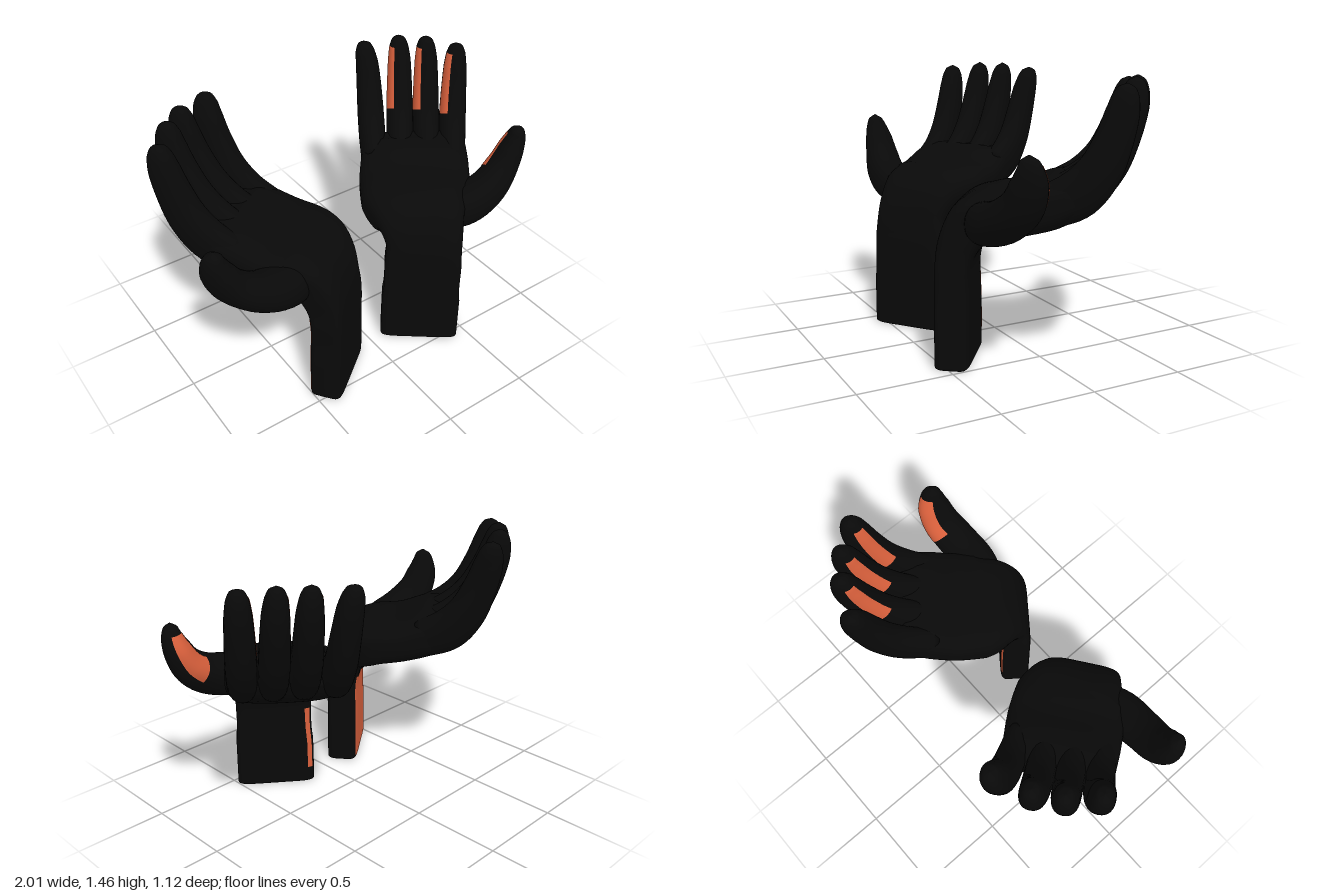
import * as THREE from 'three';

const black = new THREE.MeshStandardMaterial({ color: 0x090909 });
const orange = new THREE.MeshStandardMaterial({ color: 0xd9603c, side: THREE.DoubleSide });

// Station: [across, y, forward, half width, half thickness, squareness]
// Lofts superellipse sections along the stations; a limited range gives a surface patch.
function loft(stations, ref, { u0 = 0, u1 = 1, a0 = 0, a1 = Math.PI * 2, grow = 0, rings = 40, sides = 32 } = {}) {
  const path = new THREE.CatmullRomCurve3(stations.map(s => new THREE.Vector3(s[0], s[1], -s[2])));
  const size = new THREE.CatmullRomCurve3(stations.map(s => new THREE.Vector3(s[3], s[4], s[5] ?? 2.3)));
  const closed = a1 - a0 > 6.28;
  const cols = closed ? sides : sides + 1;
  const pos = [], idx = [];
  const power = (v, p) => Math.sign(v) * Math.abs(v) ** (2 / p);
  for (let i = 0; i <= rings; i++) {
    const u = u0 + (u1 - u0) * i / rings;
    const c = path.getPoint(u), t = path.getTangent(u), s = size.getPoint(u);
    const n = ref.clone().addScaledVector(t, -ref.dot(t)).normalize();
    const b = t.clone().cross(n);
    for (let j = 0; j < cols; j++) {
      const a = a0 + (a1 - a0) * j / sides;
      const v = c.clone()
        .addScaledVector(n, (Math.max(s.x, 0.002) + grow) * power(Math.cos(a), s.z))
        .addScaledVector(b, (Math.max(s.y, 0.002) + grow) * power(Math.sin(a), s.z));
      pos.push(v.x, v.y, v.z);
    }
  }
  for (let i = 0; i < rings; i++) for (let j = 0; j < sides; j++) {
    const k = (j + 1) % cols, p = i * cols, q = p + cols;
    idx.push(p + j, p + k, q + k, p + j, q + k, q + j);
  }
  if (closed) {
    for (const [u, ring, flip] of [[u0, 0, true], [u1, rings, false]]) {
      const c = path.getPoint(u), m = pos.length / 3, r = ring * cols;
      pos.push(c.x, c.y, c.z);
      for (let j = 0; j < sides; j++) {
        const k = (j + 1) % sides;
        idx.push(m, r + (flip ? k : j), r + (flip ? j : k));
      }
    }
  }
  const g = new THREE.BufferGeometry();
  g.setAttribute('position', new THREE.Float32BufferAttribute(pos, 3));
  g.setIndex(idx);
  g.computeVertexNormals();
  return g;
}

function add(group, name, geometry, material = black) {
  const m = new THREE.Mesh(geometry, material);
  m.name = name;
  group.add(m);
}

const ACROSS = new THREE.Vector3(1, 0, 0);
const FORWARD = new THREE.Vector3(0, 0, -1);

// Forearm bending forward into the cupped palm
const ARM = [
  [0, 0, -0.005, 0.21, 0.078, 7], [0, 0.015, -0.005, 0.222, 0.09, 7], [0, 0.27, -0.005, 0.22, 0.09, 7],
  [0, 0.52, -0.003, 0.212, 0.09, 6], [0, 0.64, 0.025, 0.21, 0.108, 4.5], [-0.02, 0.735, 0.09, 0.245, 0.132, 3.6],
  [-0.05, 0.78, 0.2, 0.3, 0.132, 3.2], [-0.055, 0.805, 0.34, 0.312, 0.124, 3.2], [-0.055, 0.845, 0.47, 0.308, 0.13, 3.2],
  [-0.055, 0.885, 0.57, 0.297, 0.112, 3.2], [-0.06, 0.93, 0.64, 0.275, 0.055, 3.2],
];

const THUMB = [
  [0.04, 0.74, 0.14, 0.09, 0.09], [0.22, 0.765, 0.2, 0.12, 0.11], [0.35, 0.815, 0.295, 0.112, 0.1],
  [0.43, 0.9, 0.38, 0.104, 0.085], [0.475, 1.0, 0.417, 0.09, 0.07], [0.495, 1.07, 0.423, 0.066, 0.054],
  [0.5, 1.12, 0.42, 0.042, 0.036], [0.5, 1.145, 0.42, 0.003, 0.003],
];

// Shared finger curl: [y, forward, half width, half thickness]
const CURL = [
  [0.845, 0.47, 0.07, 0.108], [0.915, 0.61, 0.077, 0.118], [1.03, 0.708, 0.077, 0.107], [1.18, 0.771, 0.072, 0.092],
  [1.31, 0.807, 0.065, 0.08], [1.39, 0.82, 0.054, 0.063], [1.435, 0.824, 0.036, 0.04], [1.455, 0.825, 0.003, 0.003],
];
// [name, across at base, across at tip, extra reach, extra height]
const FINGERS = [
  ['indexFinger', 0.163, 0.163, 0, -0.02], ['middleFinger', 0.018, -0.01, 0.04, 0],
  ['ringFinger', -0.133, -0.165, 0.045, 0], ['littleFinger', -0.285, -0.362, 0, -0.02],
];

function fingerStations([, base, tip, reach, rise]) {
  return CURL.map(([y, f, w, t], i) => {
    const k = i / (CURL.length - 1);
    return [base + (tip - base) * Math.min(1, k * 1.3), y + rise * k, f + reach * Math.min(1, k * 2), w, t];
  });
}

function createHand(isLeft) {
  const hand = new THREE.Group();
  add(hand, 'forearmAndPalm', loft(ARM, ACROSS, { rings: 70, sides: 48 }));
  add(hand, 'thumb', loft(THUMB, FORWARD));
  for (const f of FINGERS) add(hand, f[0], loft(fingerStations(f), ACROSS));

  // Orange patches on the surface
  if (isLeft) {
    for (const f of FINGERS.slice(0, 3)) {
      add(hand, f[0] + 'Patch', loft(fingerStations(f), ACROSS,
        { u0: 0.3, u1: 0.74, a0: 3.3, a1: 4.3, grow: 0.002, rings: 16, sides: 8 }), orange);
    }
    add(hand, 'thumbPatch', loft(THUMB, FORWARD,
      { u0: 0.38, u1: 0.76, a0: 0.1, a1: 1.6, grow: 0.002, rings: 16, sides: 10 }), orange);
    add(hand, 'forearmPatch', loft(ARM, ACROSS,
      { u0: 0.14, u1: 0.28, a0: 2.1, a1: 2.5, grow: 0.002, rings: 8, sides: 8 }), orange);
  } else {
    add(hand, 'forearmPatch', loft(ARM, ACROSS,
      { u0: 0.105, u1: 0.32, a0: 0.85, a1: 2.29, grow: 0.002, rings: 12, sides: 16 }), orange);
  }
  hand.rotation.y = -0.657;
  hand.position.set(0.294, 0, 0.362);
  return hand;
}

export function createModel() {
  const model = new THREE.Group();
  for (const side of [1, -1]) {
    const half = new THREE.Group();
    half.name = side > 0 ? 'leftHand' : 'rightHand';
    half.add(createHand(side > 0));
    half.scale.x = side;
    model.add(half);
  }
  return model;
}
